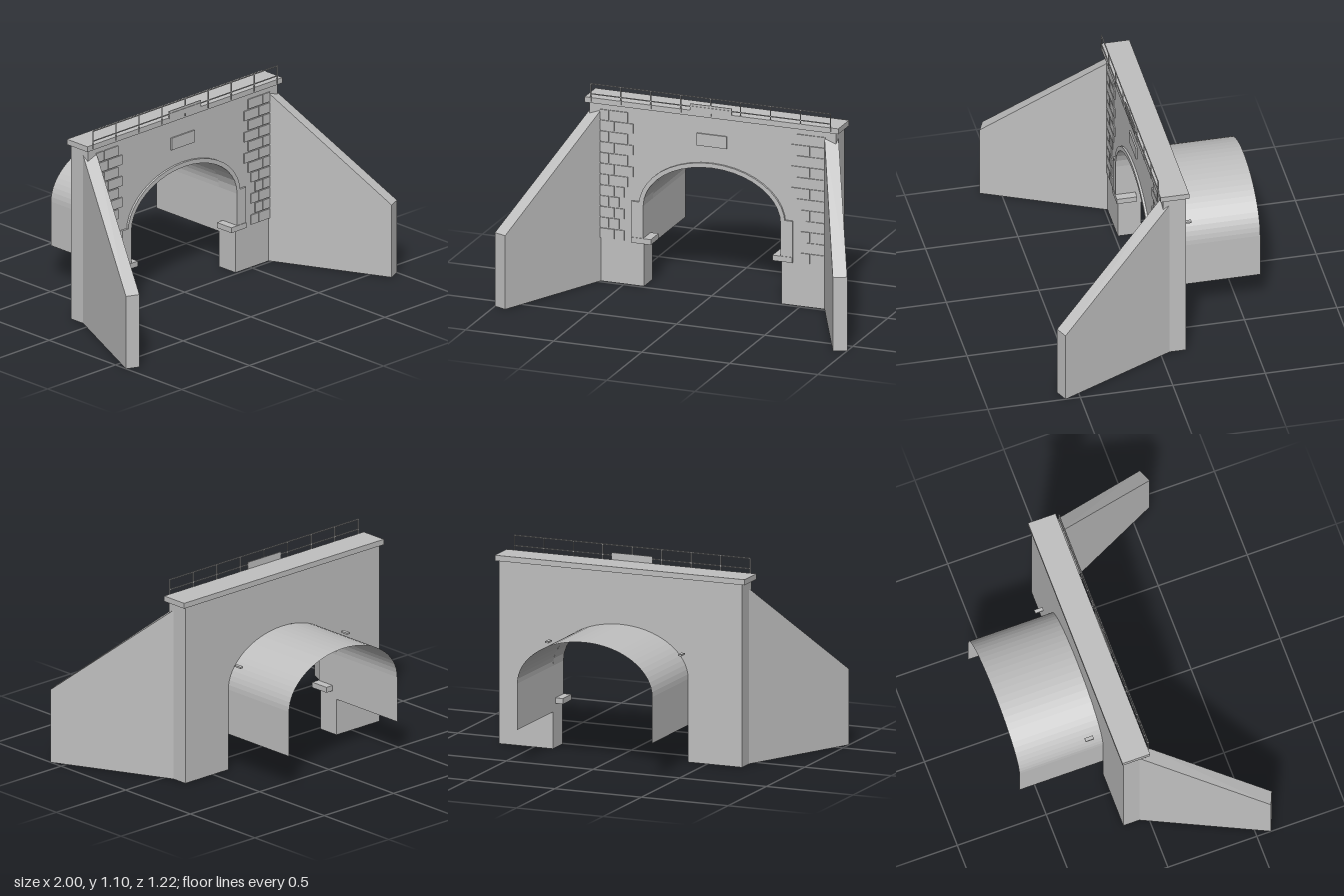
import * as THREE from 'three';
import { ConvexGeometry } from 'three/addons/geometries/ConvexGeometry.js';
import { ParametricGeometry } from 'three/addons/geometries/ParametricGeometry.js';

const concrete = new THREE.MeshStandardMaterial({ color: 0xc0c0c0 });
concrete.name = 'concrete';
const lining = new THREE.MeshStandardMaterial({ color: 0xc0c0c0, side: THREE.DoubleSide });
lining.name = 'lining concrete';

const FACE = -0.015, BACK = -0.14; // front and back planes of the portal wall
const SPRING = 0.45, HALF = 0.39, RISE = 0.26; // arch opening

export function createModel() {
  const model = new THREE.Group();
  model.name = 'tunnelPortal';

  const add = (name, geometry, material = concrete) => {
    const mesh = new THREE.Mesh(geometry, material);
    mesh.name = name;
    model.add(mesh);
    return mesh;
  };
  // box given by its limits on each axis
  const box = (name, x0, x1, y0, y1, z0, z1) =>
    add(name, new THREE.BoxGeometry(Math.abs(x1 - x0), y1 - y0, z1 - z0))
      .position.set((x0 + x1) / 2, (y0 + y1) / 2, (z0 + z1) / 2);
  const extrude = (name, points, z0, z1) => {
    const geometry = new THREE.ExtrudeGeometry(new THREE.Shape(points), { depth: z1 - z0, bevelEnabled: false });
    geometry.translate(0, 0, z0);
    return add(name, geometry);
  };
  // arch curve from right to left, enlarged by an offset
  const arch = (offset, n = 20) => Array.from({ length: n + 1 }, (_, i) => {
    const a = Math.PI * i / n;
    return new THREE.Vector2((HALF + offset) * Math.cos(a), SPRING + (RISE + offset) * Math.sin(a));
  });
  const v = (x, y) => new THREE.Vector2(x, y);

  // portal wall with its arched opening
  extrude('portalWall', [
    v(-0.7, 0), v(-HALF, 0), ...arch(0).reverse(), v(HALF, 0), v(0.7, 0), v(0.7, 0.99), v(-0.7, 0.99),
  ], BACK, FACE);
  box('coping', -0.72, 0.72, 0.99, 1.02, -0.152, 0.003);

  // raised ring round the arch
  extrude('archRing', [...arch(0.025), ...arch(0).reverse()], FACE - 0.002, -0.003);

  // thin tunnel lining behind the wall
  const section = [v(HALF, 0.2), ...arch(0, 32), v(-HALF, 0.2)];
  const last = section.length - 1;
  add('tunnelLining', new ParametricGeometry((u, w, target) => {
    const p = section[Math.round(u * last)];
    target.set(p.x, p.y, BACK - 0.47 * w);
  }, last, 1), lining);

  // plaque on the wall and name plate above the coping
  box('wallPlaque', -0.088, 0.082, 0.825, 0.893, FACE, -0.007);
  box('topPlate', -0.12, 0.115, 1.015, 1.058, 0.002, 0.007);

  for (const s of [-1, 1]) {
    // splayed wing wall with a sloping top
    const corners = [];
    for (const [x, z, top] of [[0.635, FACE, 0.95], [0.7, -0.05, 0.95], [0.93, 0.61, 0.41], [1, 0.58, 0.41]])
      for (const y of [0, top]) corners.push(new THREE.Vector3(s * x, y, z));
    add('wingWall', new ConvexGeometry(corners));

    // jamb stones and projecting sill at the springing
    box('jamb', s * HALF, s * 0.457, 0.24, 0.47, FACE, -0.003);
    box('sill', s * 0.345, s * 0.457, 0.24, 0.27, -0.11, 0);

    // small fitting outside the lining
    box('liningBracket', s * 0.374, s * 0.394, 0.593, 0.602, -0.238, -0.192);

    // staggered facing stones beside the wing wall
    const rows = 12, height = 0.72 / rows;
    for (let i = 0; i < rows; i++) {
      const y = 0.24 + i * height;
      const inner = (i < 5 ? 0.5 : 0.45) + (i % 2) * 0.03;
      const split = i % 2 ? 0.585 : 0.555;
      for (const [a, b] of [[inner, split - 0.003], [split + 0.003, 0.64]])
        box('facingStone', s * a, s * b, y + 0.003, y + height - 0.003, FACE, -0.009);
    }
  }

  // railing along the front edge of the coping
  for (let i = 0; i < 9; i++) {
    const x = -0.683 + i * 0.17;
    box('railingPost', x - 0.0025, x + 0.0025, 1.0, 1.1, 0.004, 0.009);
  }
  for (const y of [1.043, 1.099]) box('railingBar', -0.685, 0.68, y - 0.0025, y + 0.0025, 0.005, 0.01);

  return model;
}
